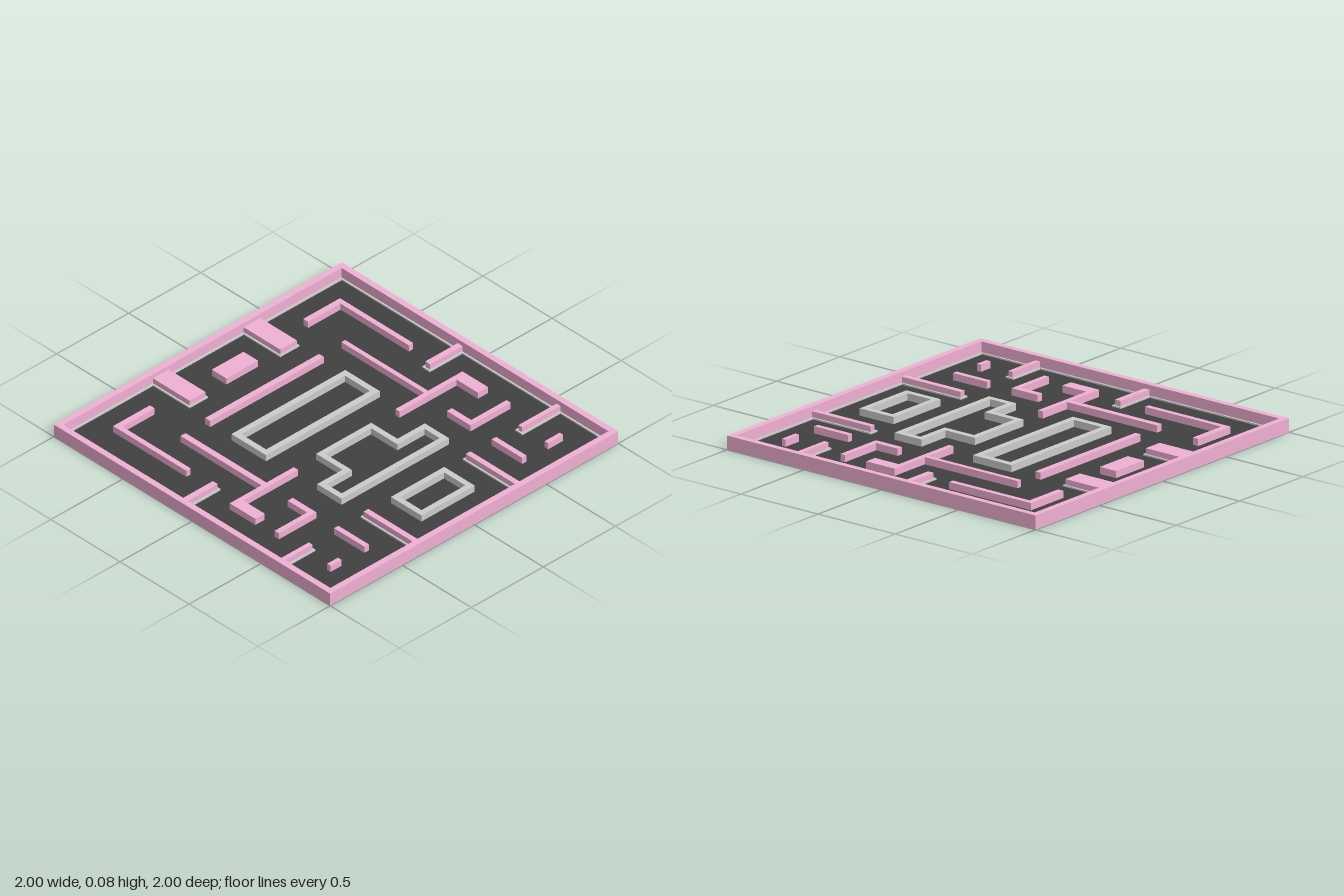
import * as THREE from 'three';

const pink = new THREE.MeshStandardMaterial({ color: 0xf0b0d4 });
const grey = new THREE.MeshStandardMaterial({ color: 0xcccccc });
const dark = new THREE.MeshStandardMaterial({ color: 0x404040 });

const FLOOR = 0.012, WALL_TOP = 0.05, RIM_TOP = 0.075;

// box over x0..x1, z0..z1, y0..y1
function slab(name, mat, [x0, x1, z0, z1], y0, y1) {
  const m = new THREE.Mesh(new THREE.BoxGeometry(x1 - x0, y1 - y0, z1 - z0), mat);
  m.position.set((x0 + x1) / 2, (y0 + y1) / 2, (z0 + z1) / 2);
  m.name = name;
  return m;
}

// upright frame from an outer and an inner outline, points given as [x, z]
function frame(name, mat, outer, inner, y0, y1) {
  const toPoints = (a) => a.map(([x, z]) => new THREE.Vector2(x, z));
  const shape = new THREE.Shape(toPoints(outer));
  shape.holes.push(new THREE.Path(toPoints(inner)));
  const geo = new THREE.ExtrudeGeometry(shape, { depth: y1 - y0, bevelEnabled: false });
  geo.rotateX(Math.PI / 2);
  const m = new THREE.Mesh(geo, mat);
  m.position.y = y1;
  m.name = name;
  return m;
}

const rect = (x0, x1, z0, z1) => [[x0, z0], [x1, z0], [x1, z1], [x0, z1]];

function rectFrame(name, mat, [x0, x1, z0, z1], t, y0, y1) {
  return frame(name, mat, rect(x0, x1, z0, z1), rect(x0 + t, x1 - t, z0 + t, z1 - t), y0, y1);
}

export function createModel() {
  const model = new THREE.Group();
  model.name = 'mazeBoard';

  // outer rim and floor
  model.add(rectFrame('outerRim', pink, [-1, 1, -1, 1], 0.035, 0, RIM_TOP));
  model.add(slab('floor', dark, [-0.966, 0.966, -0.966, 0.966], 0.006, FLOOR));

  // pink maze walls, each a list of [x0, x1, z0, z1]
  const walls = {
    backPost: [[-0.345, -0.235, -0.966, -0.7], [0.285, 0.4, -0.966, -0.7]],
    backBlock: [[-0.08, 0.14, -0.815, -0.71]],
    cornerWall: [
      [-0.74, -0.515, -0.81, -0.775], [-0.77, -0.74, -0.81, -0.28],
      [0.55, 0.775, -0.81, -0.775], [0.775, 0.805, -0.81, -0.28]],
    crossBar: [[-0.39, 0.4, -0.54, -0.505]],
    longWall: [[-0.585, -0.55, -0.515, 0.07], [0.55, 0.577, -0.535, 0.065]],
    hookWall: [
      [-0.74, -0.36, 0.07, 0.1], [-0.805, -0.74, 0.07, 0.255],
      [0.35, 0.745, 0.065, 0.095], [0.745, 0.815, 0.065, 0.25]],
    sideStub: [
      [-0.966, -0.735, -0.125, -0.09], [0.74, 0.966, -0.125, -0.09],
      [-0.966, -0.75, 0.585, 0.612], [0.7, 0.966, 0.59, 0.617]],
    smallCorner: [
      [-0.805, -0.58, 0.395, 0.425], [-0.58, -0.545, 0.255, 0.425],
      [0.56, 0.805, 0.395, 0.425], [0.525, 0.56, 0.255, 0.425]],
    frontWall: [[-0.37, -0.337, 0.585, 0.966], [0.34, 0.372, 0.585, 0.966]],
    shortWall: [[-0.575, -0.545, 0.585, 0.805], [0.52, 0.55, 0.585, 0.805]],
    smallBlock: [[-0.81, -0.735, 0.78, 0.805], [0.7, 0.805, 0.78, 0.805]],
  };
  for (const [name, list] of Object.entries(walls)) {
    const group = new THREE.Group();
    group.name = name + 's';
    list.forEach((r) => group.add(slab(name, pink, r, FLOOR - 0.003, WALL_TOP)));
    model.add(group);
  }

  // grey raised frames in the middle
  model.add(rectFrame('longFrame', grey, [-0.39, 0.4, -0.35, -0.1], 0.035, FLOOR, WALL_TOP));
  model.add(rectFrame('frontFrame', grey, [-0.185, 0.185, 0.59, 0.81], 0.033, FLOOR, WALL_TOP));
  const tee = (a, b, c, d, z0, z1, z2) =>
    [[a, z0], [b, z0], [b, z1], [d, z1], [d, z2], [c, z2], [c, z1], [a, z1]];
  model.add(frame('teeFrame', grey,
    tee(-0.2, 0.182, -0.375, 0.372, 0.065, 0.255, 0.43),
    tee(-0.167, 0.149, -0.342, 0.339, 0.098, 0.288, 0.397), FLOOR, WALL_TOP));

  // thin grey border line that follows the rim and the walls joined to it
  const line = [
    [-0.957, -0.13], [-0.957, -0.96], [-0.35, -0.96], [-0.35, -0.696], [-0.23, -0.696],
    [-0.23, -0.96], [0.28, -0.96], [0.28, -0.696], [0.405, -0.696], [0.405, -0.957],
    [0.957, -0.957], [0.957, -0.13], [0.732, -0.13], [0.732, -0.085], [0.957, -0.085],
    [0.957, 0.582], [0.695, 0.582], [0.695, 0.624], [0.957, 0.624], [0.957, 0.955],
    [0.379, 0.955], [0.379, 0.58], [0.333, 0.58], [0.333, 0.96], [-0.33, 0.96],
    [-0.33, 0.58], [-0.377, 0.58], [-0.377, 0.955], [-0.957, 0.955], [-0.957, 0.618],
    [-0.745, 0.618], [-0.745, 0.578], [-0.957, 0.578], [-0.957, -0.084], [-0.73, -0.084],
    [-0.73, -0.13]];
  const border = new THREE.Group();
  border.name = 'borderLine';
  const h = 0.005;
  line.forEach(([x, z], i) => {
    const [u, w] = line[(i + 1) % line.length];
    border.add(slab('borderSegment', grey,
      [Math.min(x, u) - h, Math.max(x, u) + h, Math.min(z, w) - h, Math.max(z, w) + h],
      FLOOR - 0.003, 0.02));
  });
  model.add(border);
  return model;
}
